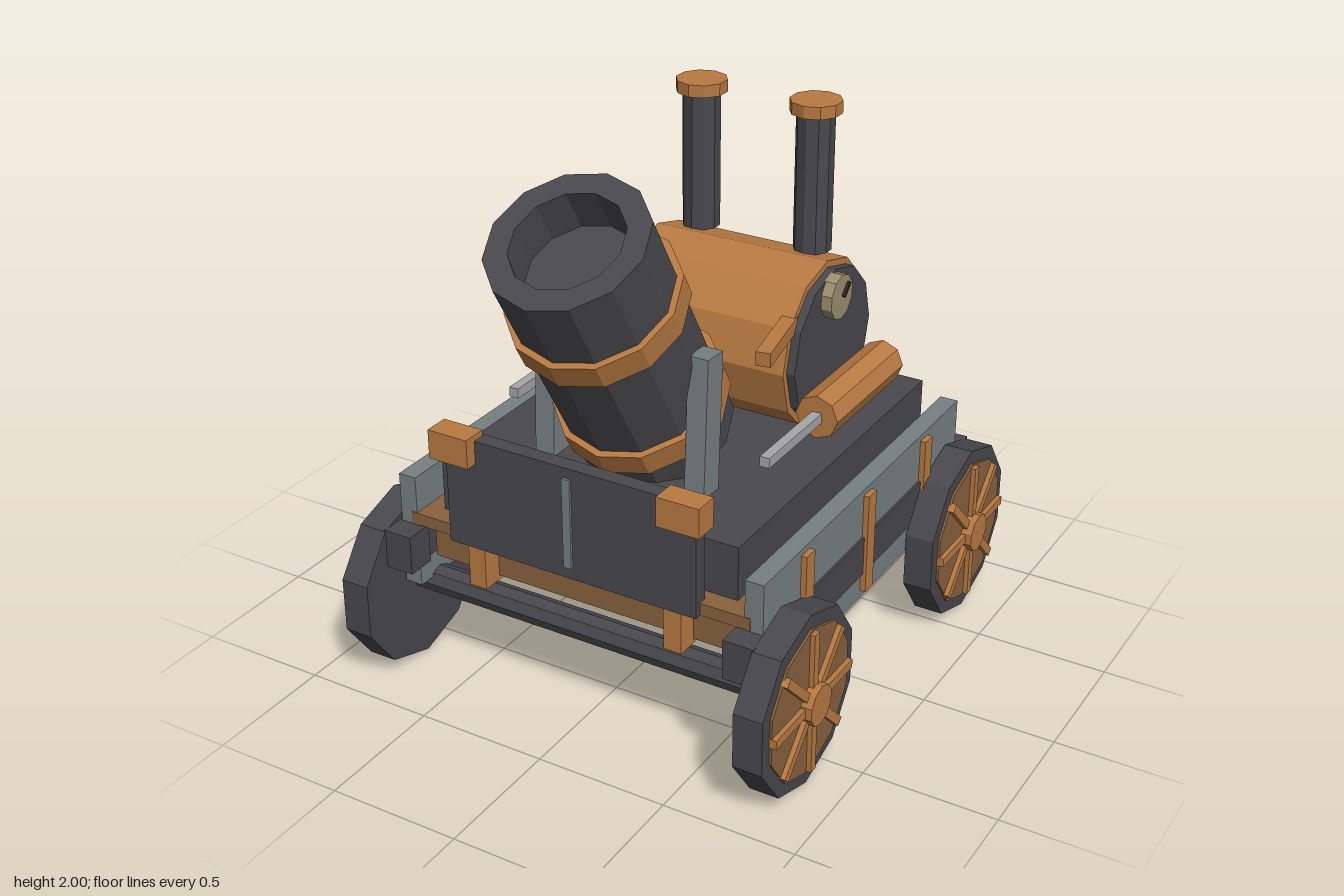
import * as THREE from 'three';

const flat = (name, color) => {
  const m = new THREE.MeshStandardMaterial({ color, flatShading: true });
  m.name = name;
  return m;
};

export function createModel() {
  const iron = flat('dark iron', 0x49484d);
  const bronze = flat('bronze', 0xb87a42);
  const wood = flat('brown wood', 0x8a623e);
  const steel = flat('grey steel', 0x768083);
  const silver = flat('silver', 0xa6a6a8);
  const brass = flat('dull brass', 0x9c9070);
  const black = flat('black', 0x26262a);

  const root = new THREE.Group();
  root.name = 'mortarWagon';

  const add = (name, geo, mat, parent = root) => {
    const mesh = new THREE.Mesh(geo, mat);
    mesh.name = name;
    parent.add(mesh);
    return mesh;
  };
  // box given by its min and max on each axis
  const box = (name, mat, x0, x1, y0, y1, z0, z1, parent) => {
    const mesh = add(name, new THREE.BoxGeometry(Math.abs(x1 - x0), y1 - y0, z1 - z0), mat, parent);
    mesh.position.set((x0 + x1) / 2, (y0 + y1) / 2, (z0 + z1) / 2);
    return mesh;
  };
  // cylinder along x with a corner pointing up
  const discX = (name, mat, r, x0, x1, y, z, sides, parent) => {
    const geo = new THREE.CylinderGeometry(r, r, Math.abs(x1 - x0), sides);
    geo.rotateZ(Math.PI / 2).rotateX(Math.PI / 2);
    const mesh = add(name, geo, mat, parent);
    mesh.position.set((x0 + x1) / 2, y, z);
    return mesh;
  };

  // wheels and axles
  for (const z of [0.647, -0.661]) {
    discX('axle', iron, 0.055, -0.76, 0.76, 0.345, z, 8);
    for (const s of [1, -1]) {
      const wheel = new THREE.Group();
      wheel.name = 'wheel';
      wheel.position.set(0, 0.342, z);
      root.add(wheel);
      discX('tyre', iron, 0.337, s * 0.745, s * 0.855, 0, 0, 10, wheel);
      discX('wheelDisc', wood, 0.285, s * 0.85, s * 0.864, 0, 0, 10, wheel);
      discX('hub', bronze, 0.075, s * 0.85, s * 0.905, 0, 0, 10, wheel);
      for (let i = 0; i < 4; i++) {
        const spoke = box('spoke', bronze, s * 0.855, s * 0.882, -0.275, 0.275, -0.017, 0.017, wheel);
        spoke.rotation.x = (i * Math.PI) / 4;
      }
    }
  }

  // floor planks resting on two deeper end beams
  for (let i = 0; i < 6; i++) {
    const z = -0.707 + i * 0.277;
    box('floorPlank', wood, -0.69, 0.69, 0.625, 0.672, z - 0.08, z + 0.08);
  }
  box('frontBeam', wood, -0.64, 0.64, 0.472, 0.626, 0.62, 0.69);
  box('rearBeam', wood, -0.64, 0.64, 0.472, 0.626, -0.715, -0.645);

  // side planks, rails and straps
  for (const s of [1, -1]) {
    box('sidePlank', steel, s * 0.667, s * 0.737, 0.37, 0.813, -0.775, 0.755);
    box('sideRail', iron, s * 0.66, s * 0.746, 0.472, 0.622, -0.865, 0.845);
    box('railEnd', iron, s * 0.635, s * 0.75, 0.472, 0.622, 0.735, 0.845);
    box('railEnd', iron, s * 0.635, s * 0.75, 0.472, 0.622, -0.865, -0.765);
    for (const z of [0.465, -0.005, -0.475])
      box('sideStrap', bronze, s * 0.72, s * 0.758, 0.4, 0.79, z - 0.03, z + 0.03);
    box('frontStrap', bronze, s * 0.365, s * 0.435, 0.455, 0.64, 0.61, 0.77);
    box('shieldBlock', bronze, s * 0.375, s * 0.537, 0.965, 1.075, 0.735, 0.83);
  }

  // deck, front shield and rear grille
  box('deck', iron, -0.6, 0.6, 0.67, 0.875, -0.75, 0.68);
  box('frontShield', iron, -0.5, 0.5, 0.625, 1.053, 0.725, 0.785);
  box('shieldRib', steel, -0.016, 0.016, 0.67, 1.015, 0.78, 0.795);
  box('rearPlate', iron, -0.28, 0.28, 0.865, 0.9, -0.745, -0.6);
  box('grillePlate', bronze, -0.11, 0.11, 0.815, 0.872, -0.765, -0.74);
  for (let i = 0; i < 4; i++) {
    const x = -0.09 + i * 0.06;
    box('grilleBar', black, x - 0.012, x + 0.012, 0.81, 0.877, -0.775, -0.755);
  }

  // boiler with end plates
  discX('boilerShell', bronze, 0.325, -0.357, 0.357, 1.12, -0.395, 12);
  discX('boilerEnds', iron, 0.3, -0.39, 0.39, 1.12, -0.395, 12);

  for (const s of [1, -1]) {
    // chimneys
    const pipe = add('chimney', new THREE.CylinderGeometry(0.072, 0.072, 0.55, 10), iron);
    pipe.position.set(s * 0.235, 1.705, -0.51);
    const cap = add('chimneyCap', new THREE.CylinderGeometry(0.097, 0.097, 0.046, 10), bronze);
    cap.position.set(s * 0.235, 1.977, -0.51);

    // pistons beside the boiler
    const cyl = new THREE.CylinderGeometry(0.083, 0.083, 0.535, 8).rotateX(Math.PI / 2);
    add('pistonCylinder', cyl, bronze).position.set(s * 0.513, 1.015, -0.3);
    box('pistonRod', silver, s * 0.496, s * 0.533, 0.996, 1.034, -0.05, 0.352);

    // arms from boiler to barrel
    const arm = add('supportArm', new THREE.BoxGeometry(0.055, 0.055, 0.29), bronze);
    arm.position.set(s * 0.356, 1.28, -0.02);
    arm.rotation.set(0.06, s * 0.16, 0);

    // barrel cradle
    const post = add('cradlePost', new THREE.BoxGeometry(0.078, 0.54, 0.1), steel);
    post.position.set(s * 0.306, 1.12, 0.405);
    post.rotation.x = -0.05;
  }

  // pressure gauge on the left end
  discX('gauge', brass, 0.086, 0.385, 0.432, 1.33, -0.37, 10);
  const needle = box('gaugeNeedle', black, 0.43, 0.444, -0.03, 0.03, -0.006, 0.006);
  needle.position.set(0.437, 1.353, -0.393);
  needle.rotation.x = -Math.PI / 4;

  // tilted hollow barrel with two hoops
  const mortar = new THREE.Group();
  mortar.name = 'mortar';
  mortar.position.set(0, 0.963, 0.208);
  mortar.rotation.x = 0.541;
  root.add(mortar);
  const lathe = (pts) => new THREE.LatheGeometry(pts.map(([r, y]) => new THREE.Vector2(r, y)), 12);
  add('barrel', lathe([[0, 0], [0.285, 0], [0.285, 1.04], [0.2, 1.04], [0.2, 0.875], [0, 0.875]]), iron, mortar);
  for (const y of [0.19, 0.71])
    add('barrelHoop', lathe([[0.28, y - 0.05], [0.309, y - 0.05], [0.309, y + 0.05], [0.28, y + 0.05]]), bronze, mortar);

  return root;
}
